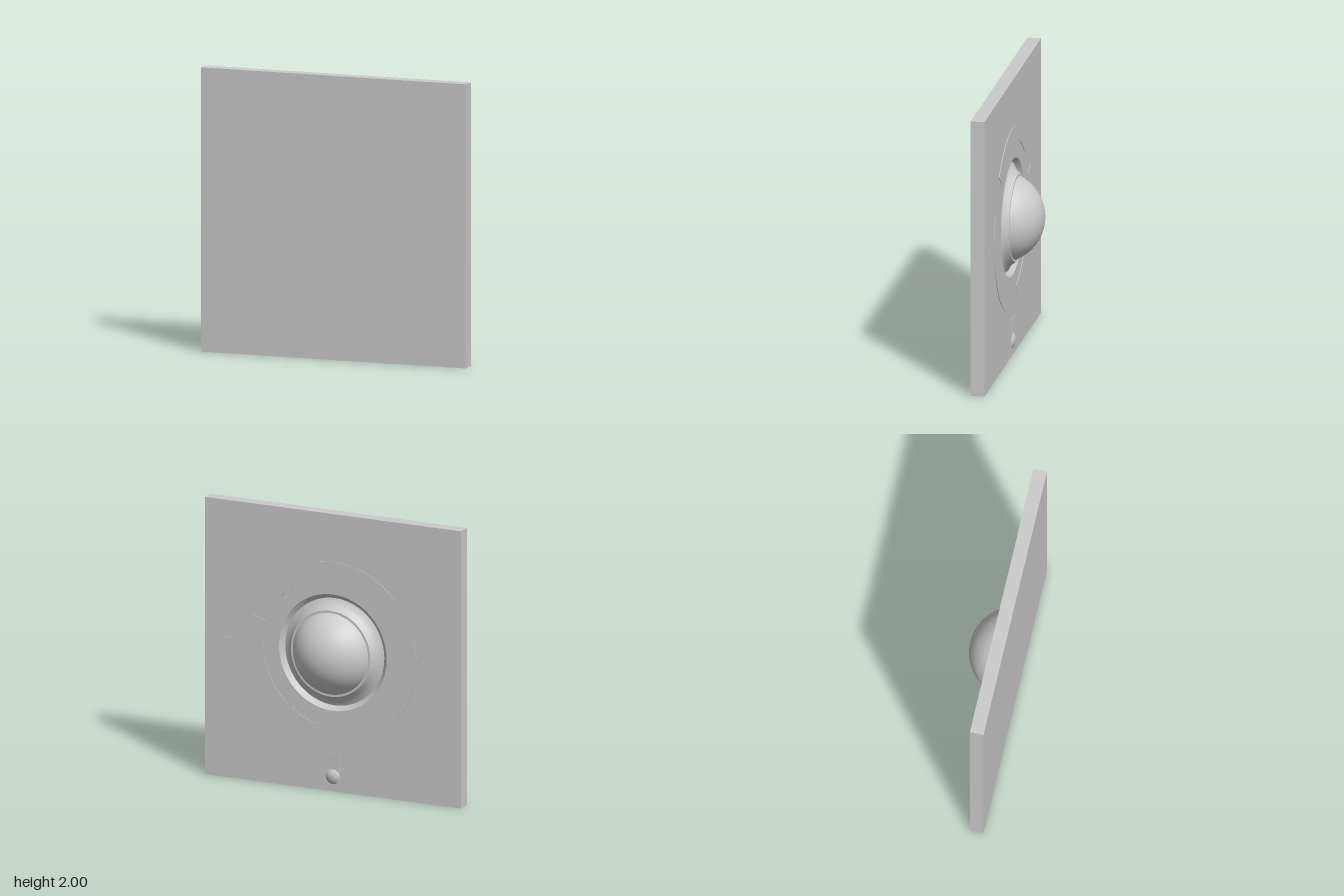
import * as THREE from 'three';

const material = new THREE.MeshStandardMaterial({ color: 0xcccccc });

function add(parent, name, geometry) {
  const mesh = new THREE.Mesh(geometry, material);
  mesh.name = name;
  parent.add(mesh);
  return mesh;
}

// Turned part whose axis points along local +z; points are [radius, height]
function turned(points) {
  const profile = points.map(([r, h]) => new THREE.Vector2(r, h));
  return new THREE.LatheGeometry(profile, 64).rotateX(Math.PI / 2);
}

// Spherical cap profile from rim (radius, base) to apex height
function capProfile(radius, base, apex, steps) {
  const h = apex - base;
  const R = (radius * radius + h * h) / (2 * h);
  const start = Math.asin(radius / R);
  return Array.from({ length: steps + 1 }, (_, i) => {
    const a = start * (1 - i / steps);
    return [R * Math.sin(a), apex - R + R * Math.cos(a)];
  });
}

function raised(shape, height) {
  return new THREE.ExtrudeGeometry(shape, { depth: height, bevelEnabled: false, curveSegments: 32 });
}

function rectangle(x0, y0, x1, y1) {
  return new THREE.Shape([[x0, y0], [x1, y0], [x1, y1], [x0, y1]].map(([x, y]) => new THREE.Vector2(x, y)));
}

export function createModel() {
  const model = new THREE.Group();
  model.name = 'wallPanel';

  // Plain front slab
  add(model, 'frontSlab', new THREE.BoxGeometry(2, 2, 0.06)).position.set(0, 1, 0.132);

  // Everything on the back is built facing local +z, with the plate surface at z = 0
  const back = new THREE.Group();
  back.name = 'backSide';
  back.position.set(0, 1, 0.065);
  back.rotation.y = Math.PI;
  model.add(back);

  // Back layer with a round opening for the collar recess
  const plate = rectangle(-1, -1, 1, 1);
  const opening = new THREE.Path();
  opening.absarc(0, 0, 0.42, 0, Math.PI * 2, true);
  plate.holes.push(opening);
  add(back, 'backPlate', raised(plate, 0.037).translate(0, 0, -0.037));

  // Recess chamfer, collar and dome
  add(back, 'recessChamfer', turned([[0.42, 0], [0.387, -0.03]]));
  add(back, 'collar', turned([[0.387, -0.03], [0.358, -0.018], [0.335, 0.002], [0.31, 0.035]]));
  add(back, 'collarRim', turned([[0.31, 0.035], [0.285, 0.035]]));
  add(back, 'dome', turned(capProfile(0.296, 0.03, 0.225, 20)));

  // Three slightly raised arc panels around the dome
  const half = THREE.MathUtils.degToRad(48);
  for (let i = 0; i < 3; i++) {
    const middle = Math.PI / 2 + (i * Math.PI * 2) / 3;
    const arc = new THREE.Shape();
    arc.absarc(0, 0, 0.655, middle - half, middle + half, false);
    arc.absarc(0, 0, 0.54, middle + half, middle - half, true);
    add(back, 'arcPanel' + (i + 1), raised(arc, 0.004));
  }

  // Small button with its tab near the bottom edge
  add(back, 'button', turned(capProfile(0.056, 0, 0.02, 8))).position.y = -0.893;
  add(back, 'buttonTab', raised(rectangle(-0.055, -0.86, 0.055, -0.73), 0.003));

  // Small side mark
  add(back, 'sideMark', raised(rectangle(-0.855, -0.01, -0.78, 0.01), 0.004));

  return model;
}
